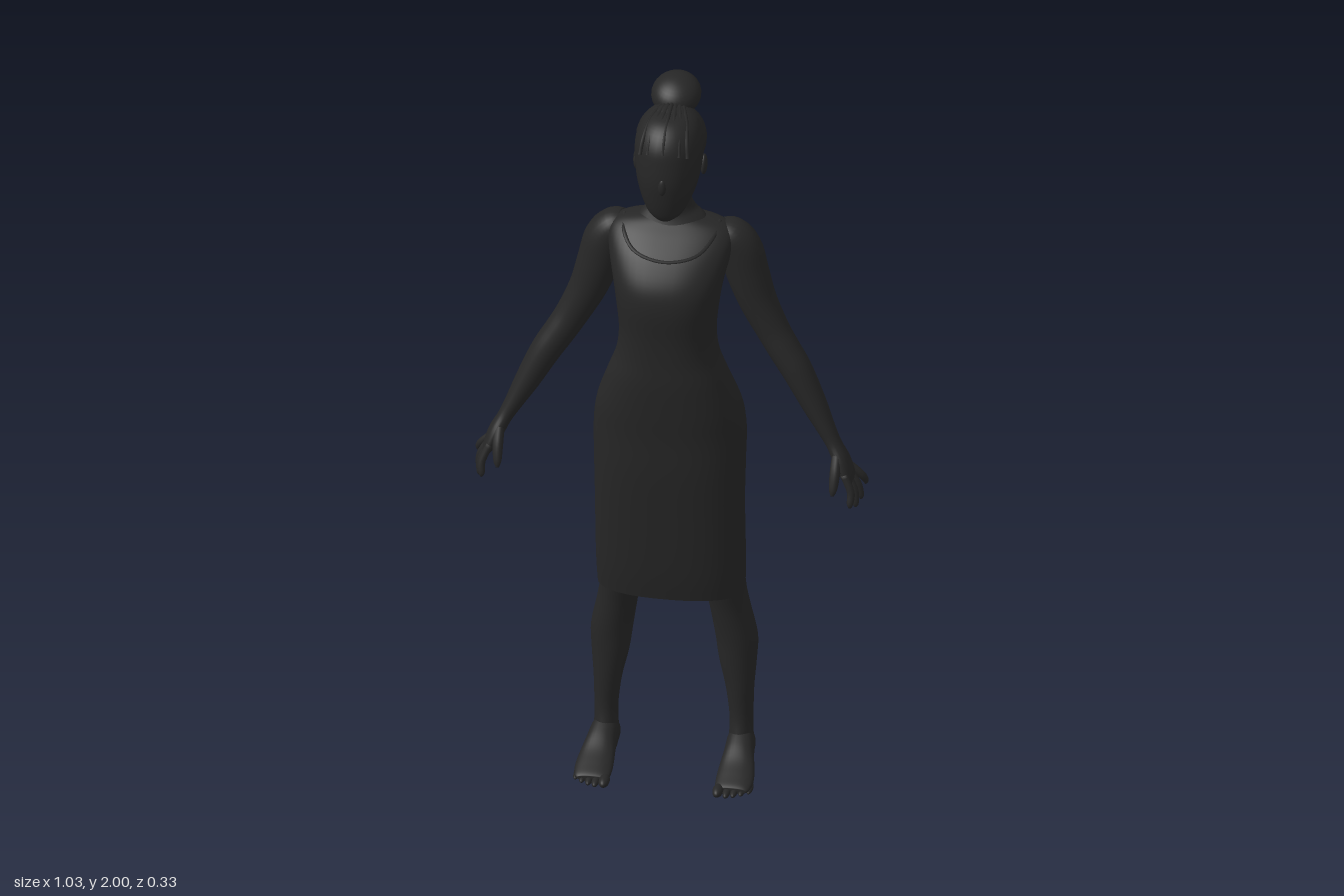
import * as THREE from 'three';

const charcoal = new THREE.MeshStandardMaterial({ color: 0x262626, side: THREE.DoubleSide });
charcoal.name = 'charcoal';

// smooth interpolation through rows of numbers, u in 0..1
function sample(rows, u) {
  const f = u * (rows.length - 1);
  const i = Math.min(Math.floor(f), rows.length - 2), t = f - i;
  const at = (k) => rows[Math.max(0, Math.min(rows.length - 1, k))];
  const [a, b, c, d] = [at(i - 1), at(i), at(i + 1), at(i + 2)];
  return b.map((_, k) => b[k] + 0.5 * t * (c[k] - a[k] +
    t * (2 * a[k] - 5 * b[k] + 4 * c[k] - d[k] + t * (3 * (b[k] - c[k]) + d[k] - a[k]))));
}
const power = (v, n) => Math.sign(v) * Math.abs(v) ** (2 / n);

// upright section: [y, centre x, half width, front z, back z]
const upright = (rows, n = 2) => (u, a) => {
  const [y, cx, hw, zf, zb] = sample(rows, u);
  return new THREE.Vector3(cx + hw * power(Math.cos(a), n), y,
    (zf + zb) / 2 + (zf - zb) / 2 * power(Math.sin(a), n));
};
// lengthwise section: [z, centre x, half width, top y, bottom y]
const lengthwise = (rows, n = 2) => (u, a) => {
  const p = upright(rows, n)(u, a);
  return new THREE.Vector3(p.x, p.z, p.y);
};
// limb section across a path: [x, y, z, thickness, width towards z]
const limbPath = (rows) => (u, a) => {
  const r = sample(rows, u);
  const p = new THREE.Vector3(...r.slice(0, 3));
  const tangent = new THREE.Vector3(...sample(rows, Math.min(1, u + 0.01)).slice(0, 3))
    .sub(new THREE.Vector3(...sample(rows, Math.max(0, u - 0.01)).slice(0, 3))).normalize();
  const side = new THREE.Vector3(0, 0, 1).addScaledVector(tangent, -tangent.z).normalize();
  const across = new THREE.Vector3().crossVectors(side, tangent);
  return p.addScaledVector(across, r[3] * Math.cos(a)).addScaledVector(side, r[4] * Math.sin(a));
};

// skin a section function, closing the ends with fans
function loft(name, fn, { steps = 32, sides = 32, openStart = false } = {}) {
  const pts = [], idx = [];
  for (let i = 0; i <= steps; i++)
    for (let j = 0; j < sides; j++) pts.push(fn(i / steps, j / sides * Math.PI * 2));
  for (let i = 0; i < steps; i++)
    for (let j = 0; j < sides; j++) {
      const k = (j + 1) % sides, a = i * sides, b = a + sides;
      idx.push(a + j, b + j, a + k, a + k, b + j, b + k);
    }
  const cap = (row, flip) => {
    const c = new THREE.Vector3();
    for (let j = 0; j < sides; j++) c.addScaledVector(pts[row * sides + j], 1 / sides);
    const m = pts.push(c) - 1;
    for (let j = 0; j < sides; j++) {
      const p = row * sides + j, q = row * sides + (j + 1) % sides;
      if (flip) idx.push(m, q, p); else idx.push(m, p, q);
    }
  };
  if (!openStart) cap(0, false);
  cap(steps, true);
  // turn the faces outward
  let volume = 0;
  for (let i = 0; i < idx.length; i += 3)
    volume += pts[idx[i]].dot(new THREE.Vector3().crossVectors(pts[idx[i + 1]], pts[idx[i + 2]]));
  if (volume < 0) idx.reverse();
  const g = new THREE.BufferGeometry().setFromPoints(pts);
  g.setIndex(idx);
  g.computeVertexNormals();
  const mesh = new THREE.Mesh(g, charcoal);
  mesh.name = name;
  return mesh;
}
function ball(name, x, y, z, rx, ry, rz, tilt = 0) {
  const m = new THREE.Mesh(new THREE.SphereGeometry(1, 28, 18), charcoal);
  m.name = name;
  m.position.set(x, y, z);
  m.scale.set(rx, ry, rz);
  m.rotation.x = tilt;
  return m;
}
function cord(name, points, r) {
  const m = new THREE.Mesh(new THREE.TubeGeometry(new THREE.CatmullRomCurve3(points), 32, r, 6), charcoal);
  m.name = name;
  return m;
}

export function createModel() {
  const model = new THREE.Group();

  // dress and upper body
  model.add(loft('dress', upright([
    [0.53, 0, 0.192, 0.065, -0.12], [0.62, 0, 0.195, 0.08, -0.115], [0.8, 0, 0.195, 0.1, -0.105],
    [0.92, 0, 0.197, 0.112, -0.118], [1.02, 0, 0.198, 0.117, -0.13], [1.1, 0, 0.188, 0.124, -0.113],
    [1.19, 0, 0.158, 0.13, -0.082], [1.26, 0, 0.133, 0.13, -0.07], [1.33, 0, 0.126, 0.133, -0.074],
    [1.42, 0, 0.135, 0.141, -0.09], [1.48, 0, 0.146, 0.13, -0.105], [1.54, 0, 0.16, 0.09, -0.112],
    [1.585, 0, 0.162, 0.045, -0.108], [1.61, 0, 0.135, 0.015, -0.095], [1.625, 0, 0.07, -0.005, -0.08],
  ], 2.4), { steps: 70, sides: 48, openStart: true }));
  model.add(cord('neckline', [[-0.125, 1.612, -0.04], [-0.115, 1.59, 0.025], [-0.08, 1.56, 0.067],
    [0, 1.545, 0.085], [0.08, 1.56, 0.067], [0.115, 1.59, 0.025], [0.125, 1.612, -0.04]]
    .map((p) => new THREE.Vector3(...p)), 0.005));
  model.add(loft('neck', upright([
    [1.58, 0, 0.12, 0.03, -0.1], [1.625, 0, 0.085, 0.005, -0.09], [1.65, 0, 0.06, 0.0, -0.084],
    [1.69, 0, 0.048, 0.008, -0.073], [1.75, 0, 0.048, 0.03, -0.068], [1.8, 0, 0.05, 0.03, -0.07],
  ])));

  // head, ears and hair
  model.add(loft('head', upright([
    [1.67, 0, 0.02, 0.09, 0.05], [1.685, 0, 0.042, 0.1, 0.02], [1.71, 0, 0.058, 0.108, -0.015],
    [1.745, 0, 0.073, 0.115, -0.055], [1.79, 0, 0.084, 0.12, -0.085], [1.84, 0, 0.089, 0.116, -0.105],
    [1.88, 0, 0.087, 0.108, -0.11], [1.915, 0, 0.074, 0.085, -0.095], [1.937, 0, 0.048, 0.052, -0.065],
    [1.945, 0, 0.012, 0.008, -0.02],
  ], 2.1)));
  model.add(ball('nose', 0, 1.785, 0.115, 0.011, 0.024, 0.01));
  const hair = new THREE.Group();
  hair.name = 'hair';
  hair.add(ball('hairCap', 0, 1.858, -0.024, 0.092, 0.092, 0.098, 0.15));
  hair.add(ball('bun', 0, 1.947, -0.097, 0.065, 0.049, 0.07, 0.3));
  for (let i = -3; i <= 3; i++) {
    const x = i * 0.016;
    hair.add(cord('strand', [[x * 1.3, 1.875, 0.107], [x * 1.2, 1.91, 0.086], [x, 1.94, 0.036], [x * 0.6, 1.952, -0.03]]
      .map(([a, b, c]) => new THREE.Vector3(a, b - Math.abs(x) * 0.2, c - Math.abs(x) * 0.25)), 0.005));
  }
  model.add(hair);

  for (const s of [1, -1]) {
    const side = s > 0 ? 'left' : 'right';
    const flip = (rows, k) => rows.map((r) => r.map((v, i) => (i === k ? v * s : v)));
    const limb = (name, rows, opts) => model.add(loft(side + name, limbPath(flip(rows, 0)), opts));

    model.add(ball(side + 'Ear', s * 0.088, 1.795, -0.008, 0.009, 0.028, 0.017, -0.2));

    // arm with palm
    limb('Arm', [
      [0.125, 1.592, -0.05, 0.02, 0.035], [0.15, 1.572, -0.052, 0.045, 0.052], [0.175, 1.53, -0.053, 0.057, 0.056],
      [0.195, 1.46, -0.052, 0.056, 0.053], [0.222, 1.38, -0.05, 0.05, 0.048], [0.262, 1.3, -0.045, 0.044, 0.043],
      [0.295, 1.245, -0.038, 0.042, 0.043], [0.33, 1.19, -0.03, 0.04, 0.042], [0.375, 1.105, -0.018, 0.033, 0.036],
      [0.41, 1.04, -0.005, 0.024, 0.028], [0.432, 1, 0.003, 0.02, 0.026], [0.453, 0.96, 0.01, 0.021, 0.038],
      [0.471, 0.918, 0.013, 0.016, 0.043], [0.477, 0.902, 0.013, 0.008, 0.035],
    ], { steps: 60, sides: 24 });
    // fingers: base z, then tip x, y, z
    [[0.045, 0.483, 0.848, 0.062], [0.024, 0.493, 0.838, 0.034],
      [0.002, 0.501, 0.845, 0.002], [-0.02, 0.507, 0.87, -0.034]].forEach(([z, tx, ty, tz]) => {
      limb('Finger', [[0.464, 0.935, z, 0.01, 0.01],
        [(0.468 + tx) / 2 + 0.008, (0.935 + ty) / 2, (z + tz) / 2, 0.0105, 0.0105],
        [tx, ty + 0.012, tz, 0.0085, 0.0085], [tx, ty, tz, 0.003, 0.003]], { steps: 12, sides: 10 });
    });
    limb('Thumb', [[0.442, 0.985, 0.02, 0.013, 0.014], [0.442, 0.945, 0.05, 0.014, 0.015],
      [0.44, 0.905, 0.07, 0.011, 0.011], [0.439, 0.887, 0.077, 0.004, 0.004]], { steps: 14, sides: 12 });

    // leg
    model.add(loft(side + 'Leg', upright(flip([
      [0.8, 0.11, 0.07, 0.05, -0.085], [0.65, 0.122, 0.063, 0.03, -0.095], [0.53, 0.136, 0.054, 0.008, -0.112],
      [0.46, 0.147, 0.053, -0.006, -0.12], [0.37, 0.163, 0.055, -0.016, -0.125], [0.3, 0.167, 0.049, -0.02, -0.117],
      [0.22, 0.173, 0.037, -0.023, -0.103], [0.14, 0.177, 0.031, -0.025, -0.1],
      [0.09, 0.177, 0.031, -0.015, -0.108], [0.04, 0.177, 0.033, 0, -0.113], [0.01, 0.177, 0.028, -0.01, -0.105],
    ], 1)), { steps: 50 }));

    // foot and toes
    model.add(loft(side + 'Foot', lengthwise(flip([
      [-0.116, 0.177, 0.012, 0.04, 0.012], [-0.1, 0.177, 0.03, 0.07, 0.002], [-0.05, 0.178, 0.036, 0.105, 0],
      [0, 0.181, 0.04, 0.09, 0.002], [0.05, 0.184, 0.047, 0.06, 0.002], [0.09, 0.185, 0.049, 0.042, 0],
      [0.12, 0.184, 0.045, 0.029, 0.003], [0.13, 0.183, 0.038, 0.022, 0.008],
    ], 1), 2.3)));
    for (let i = 0; i < 5; i++) {
      const r = i ? 0.0105 - i * 0.0006 : 0.014;
      model.add(ball(side + 'Toe', s * (0.149 + i * 0.0185 + (i ? 0.004 : 0)), r, 0.132 - i * i * 0.0022, r, r, 0.029));
    }
  }
  return model;
}
